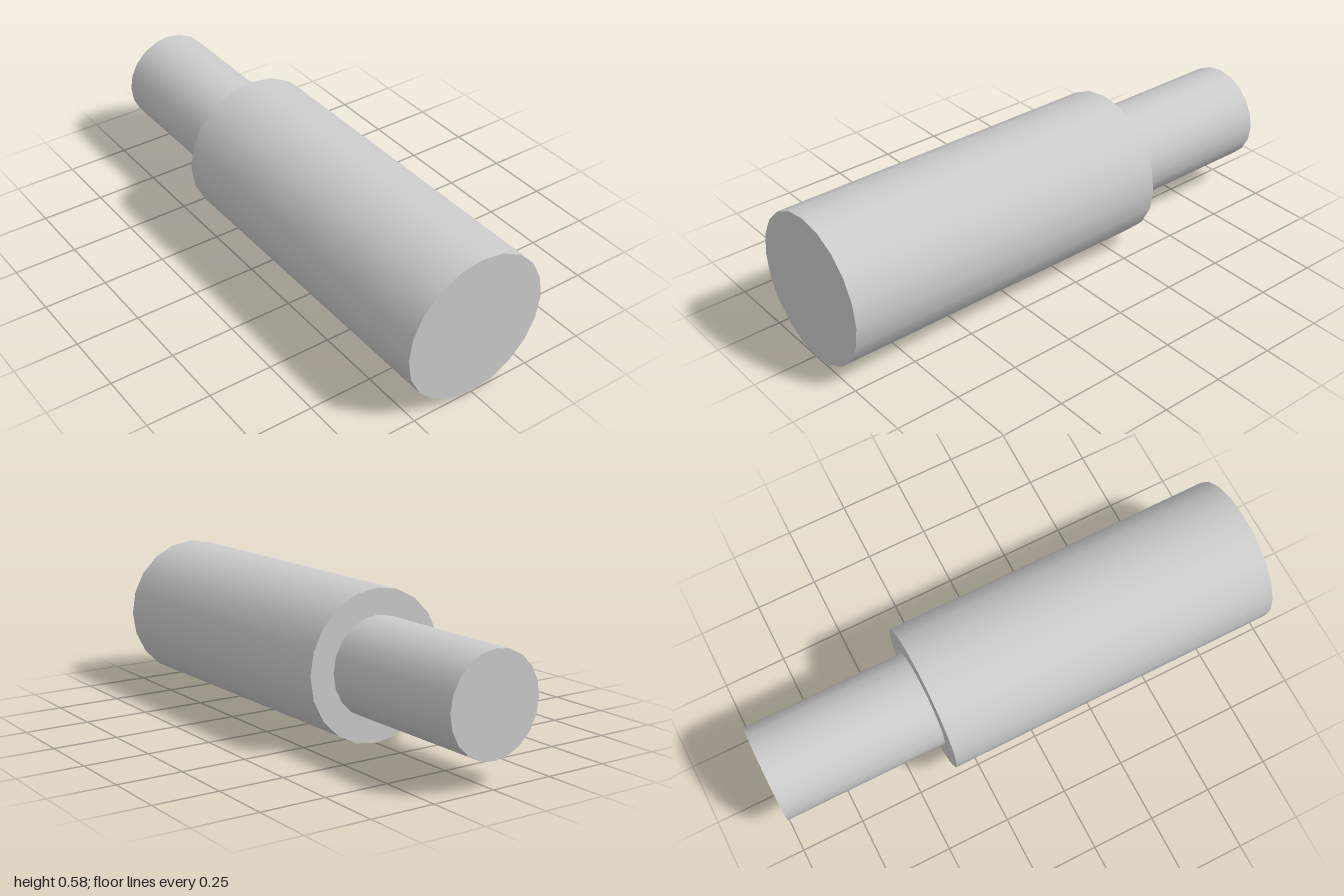
import * as THREE from 'three';

const SIDES = 20;
const RADIUS = 0.289;
const STEP_Z = -0.353;

const material = new THREE.MeshStandardMaterial({ color: 0xcccccc });

// Round bar lying along z between two z positions
function bar(name, radius, zBack, zFront) {
  const geometry = new THREE.CylinderGeometry(radius, radius, zFront - zBack, SIDES);
  geometry.rotateX(Math.PI / 2);
  const mesh = new THREE.Mesh(geometry, material);
  mesh.name = name;
  mesh.position.set(0, RADIUS, (zBack + zFront) / 2);
  return mesh;
}

export function createModel() {
  const group = new THREE.Group();
  group.name = 'steppedPin';
  // Thick front body and the thinner shaft behind it
  group.add(bar('body', RADIUS, STEP_Z, 1));
  group.add(bar('shaft', 0.19, -1, STEP_Z));
  return group;
}
